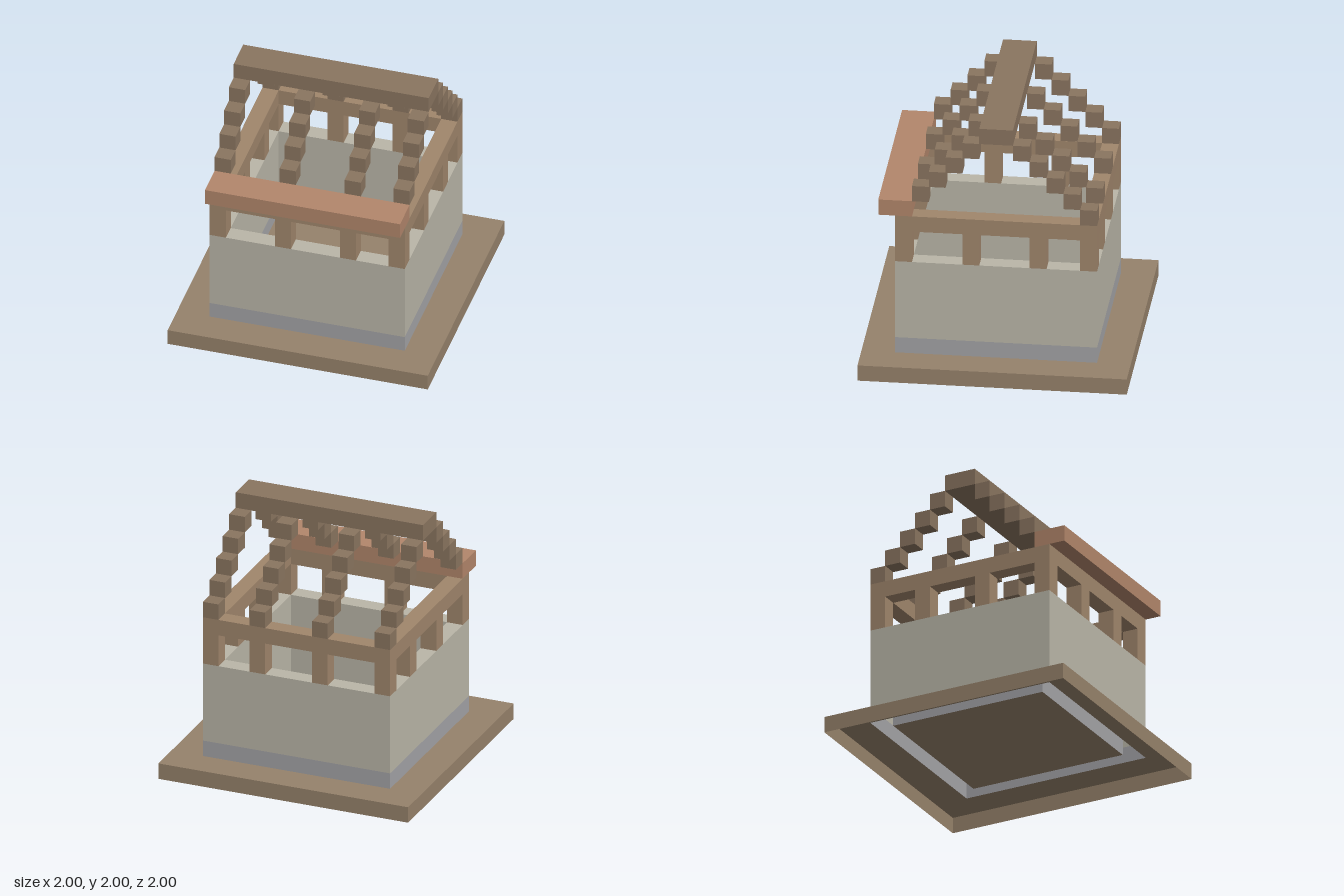
import * as THREE from 'three';

const U = 0.125; // one block

const paint = (color, side = THREE.FrontSide) =>
  new THREE.MeshStandardMaterial({ color, side });
const shell = (color) => paint(color, THREE.DoubleSide);

const mats = {
  base: shell(0x96826b),
  footing: shell(0xa3a3a6),
  wall: shell(0xbab6a8),
  frame: paint(0xa0866c),
  roof: paint(0x8a7560),
  lintel: paint(0xb2866b),
};

// Square outline of half-width h, optionally with a square hole
function square(h, hole = 0) {
  const corners = (r) => [[-r, -r], [r, -r], [r, r], [-r, r]].map(([x, y]) => new THREE.Vector2(x, y));
  const shape = new THREE.Shape(corners(h));
  if (hole) shape.holes.push(new THREE.Path(corners(hole)));
  return shape;
}

// Upright extrusion of an outline; without caps only its side faces remain
function upright(shape, y0, y1, caps = true) {
  const geo = new THREE.ExtrudeGeometry(shape, { depth: y1 - y0, bevelEnabled: false });
  if (!caps) {
    const start = geo.groups[1].start;
    for (const key of ['position', 'normal', 'uv']) {
      const a = geo.attributes[key];
      geo.setAttribute(key, new THREE.BufferAttribute(a.array.slice(start * a.itemSize), a.itemSize));
    }
  }
  geo.clearGroups();
  return geo.rotateX(-Math.PI / 2).translate(0, y0, 0);
}

// Flat upward-facing sheet at height y
const sheet = (shape, y) =>
  new THREE.ShapeGeometry(shape).rotateX(-Math.PI / 2).translate(0, y, 0);

// Box given by its lowest corner and size, in blocks
function blocks(x, y, z, w, h, d) {
  return new THREE.BoxGeometry(w * U, h * U, d * U)
    .translate((x + w / 2) * U, (y + h / 2) * U, (z + d / 2) * U);
}

export function createModel() {
  const model = new THREE.Group();
  const add = (name, geo, mat, parent = model) => {
    const mesh = new THREE.Mesh(geo, mat);
    mesh.name = name;
    parent.add(mesh);
  };
  const group = (name) => {
    const g = new THREE.Group();
    g.name = name;
    model.add(g);
    return g;
  };

  // Base slab: open underneath and under the hollow walls
  const base = group('base');
  add('baseSides', upright(square(1), 0, U, false), mats.base, base);
  add('baseTop', sheet(square(1, 6 * U), U), mats.base, base);
  add('floor', sheet(square(5 * U), U), mats.base, base);

  // Hollow walls: footing course, main course and top ledge
  const walls = group('walls');
  const ring = square(6 * U, 5 * U);
  add('footing', upright(ring, U, 2 * U, false), mats.footing, walls);
  add('wall', upright(ring, 2 * U, 7 * U, false), mats.wall, walls);
  add('wallLedge', sheet(ring, 7 * U), mats.wall, walls);

  // Window posts and the ring beam on them
  const frame = group('windowFrame');
  const columns = [-6, -2, 2, 5];
  for (const x of columns)
    for (const z of [-6, 5]) add('post', blocks(x, 7, z, 1, 2, 1), mats.frame, frame);
  for (const x of [-6, 5])
    for (const z of [-3, 1]) add('sidePost', blocks(x, 7, z, 1, 2, 1), mats.frame, frame);
  add('ringBeam', upright(ring, 9 * U, 10 * U), mats.frame, frame);

  // Front eave
  add('frontEave', blocks(-6, 10, 5, 12, 1, 2), mats.lintel);

  // Stepped rafters: five steps behind, four in front above the eave
  const roof = group('roof');
  for (const x of columns)
    for (let i = 0; i < 5; i++) {
      add('backRafterStep', blocks(x, 10 + i, -6 + i, 1, 1, 1), mats.roof, roof);
      if (i > 0) add('frontRafterStep', blocks(x, 10 + i, 5 - i, 1, 1, 1), mats.roof, roof);
    }
  add('ridgeBeam', blocks(-6, 15, -1, 12, 1, 2), mats.roof, roof);

  return model;
}
